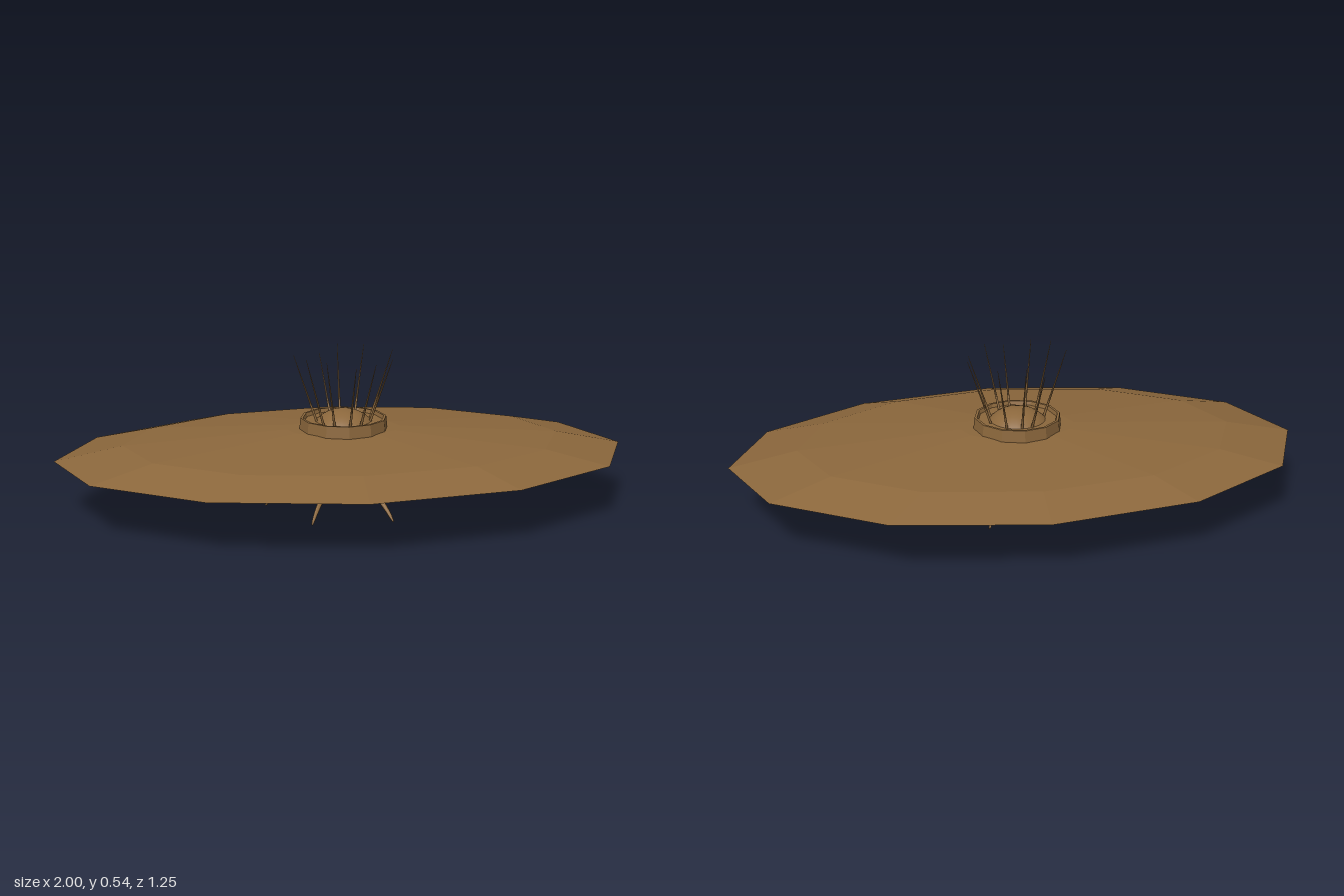
import * as THREE from 'three';

export function createModel() {
  const model = new THREE.Group();
  model.name = 'flyingSaucer';
  const bronze = new THREE.MeshStandardMaterial({ color: 0x8b673c });
  bronze.name = 'bronze';

  const add = (name, geometry, parent = model) => {
    const mesh = new THREE.Mesh(geometry, bronze);
    mesh.name = name;
    parent.add(mesh);
    return mesh;
  };
  // Twelve-sided turned solid with flat facets; points run from bottom to top
  const turned = (points, zScale = 1) => {
    const g = new THREE.LatheGeometry(points.map(p => new THREE.Vector2(...p)), 12);
    g.scale(1, 1, zScale);
    const flat = g.toNonIndexed();
    flat.computeVertexNormals();
    return flat;
  };

  // Oval hull, sharp at the rim
  add('hull', turned([
    [0, 0.14], [0.2, 0.14], [0.73, 0.162], [1, 0.19], [0.765, 0.238], [0.2, 0.277], [0, 0.277],
  ], 0.623));

  // Collars above and below, each with a shallow recess
  add('upperCollar', turned([
    [0.155, 0.26], [0.155, 0.277], [0.151, 0.316], [0.142, 0.316], [0.138, 0.303], [0, 0.303],
  ]));
  add('lowerCollar', turned([
    [0, 0.108], [0.138, 0.108], [0.142, 0.1], [0.15, 0.1], [0.155, 0.138], [0.155, 0.16],
  ]));

  // Core sphere showing as a dome on top and a belly below
  add('core', new THREE.SphereGeometry(0.135, 32, 20)).position.y = 0.21;

  // Thin antennae leaning outward: tip x, tip z, tip height
  const tips = [
    [0.02, 0.173, 0.52], [0.09, 0.157, 0.53], [0.163, 0.055, 0.525], [0.18, -0.05, 0.54],
    [0.094, -0.157, 0.54], [0, -0.175, 0.545], [-0.065, -0.165, 0.51], [-0.174, 0.013, 0.54],
    [-0.142, 0.12, 0.545], [-0.077, 0.157, 0.54],
  ];
  const antennae = new THREE.Group();
  antennae.name = 'antennae';
  model.add(antennae);
  const up = new THREE.Vector3(0, 1, 0);
  for (const [x, z, y] of tips) {
    const tip = new THREE.Vector3(x, y, z);
    const base = new THREE.Vector3(x * 0.53, 0.295, z * 0.53);
    const dir = tip.clone().sub(base);
    const mesh = add('antenna', new THREE.CylinderGeometry(0.0008, 0.005, dir.length(), 6), antennae);
    mesh.position.copy(base).lerp(tip, 0.5);
    mesh.quaternion.setFromUnitVectors(up, dir.normalize());
  }

  // Curved landing leg: a cylinder bent along an arc and tapered to a point
  const arc = new THREE.QuadraticBezierCurve3(
    new THREE.Vector3(0.085, 0.1, 0), new THREE.Vector3(0.19, 0.095, 0), new THREE.Vector3(0.277, 0.003, 0));
  const legGeometry = new THREE.CylinderGeometry(1, 1, 1, 8, 12);
  const pos = legGeometry.attributes.position;
  for (let i = 0; i < pos.count; i++) {
    const t = 0.5 - pos.getY(i);
    const c = arc.getPoint(t), d = arc.getTangent(t);
    const r = 0.003 + 0.009 * Math.sqrt(Math.max(0, 1 - t));
    const a = pos.getX(i) * r, b = pos.getZ(i) * r;
    // x goes to the upper side of the arc, z stays sideways
    pos.setXYZ(i, c.x - d.y * a, c.y + d.x * a, -b);
  }
  // Put the corners in outward order
  const index = legGeometry.index;
  const p = [0, 1, 2].map(() => new THREE.Vector3());
  p.forEach((v, k) => v.fromBufferAttribute(pos, index.getX(k)));
  const normal = p[1].clone().sub(p[0]).cross(p[2].clone().sub(p[0]));
  const axis = arc.getPoint(0);
  if (normal.dot(p[0].clone().sub(axis)) < 0) {
    for (let i = 0; i < index.count; i += 3) {
      const s = index.getX(i);
      index.setX(i, index.getX(i + 1));
      index.setX(i + 1, s);
    }
  }
  legGeometry.computeVertexNormals();
  const legs = new THREE.Group();
  legs.name = 'landingLegs';
  model.add(legs);
  for (let i = 0; i < 6; i++) add('landingLeg', legGeometry, legs).rotation.y = i * Math.PI / 3;

  return model;
}
